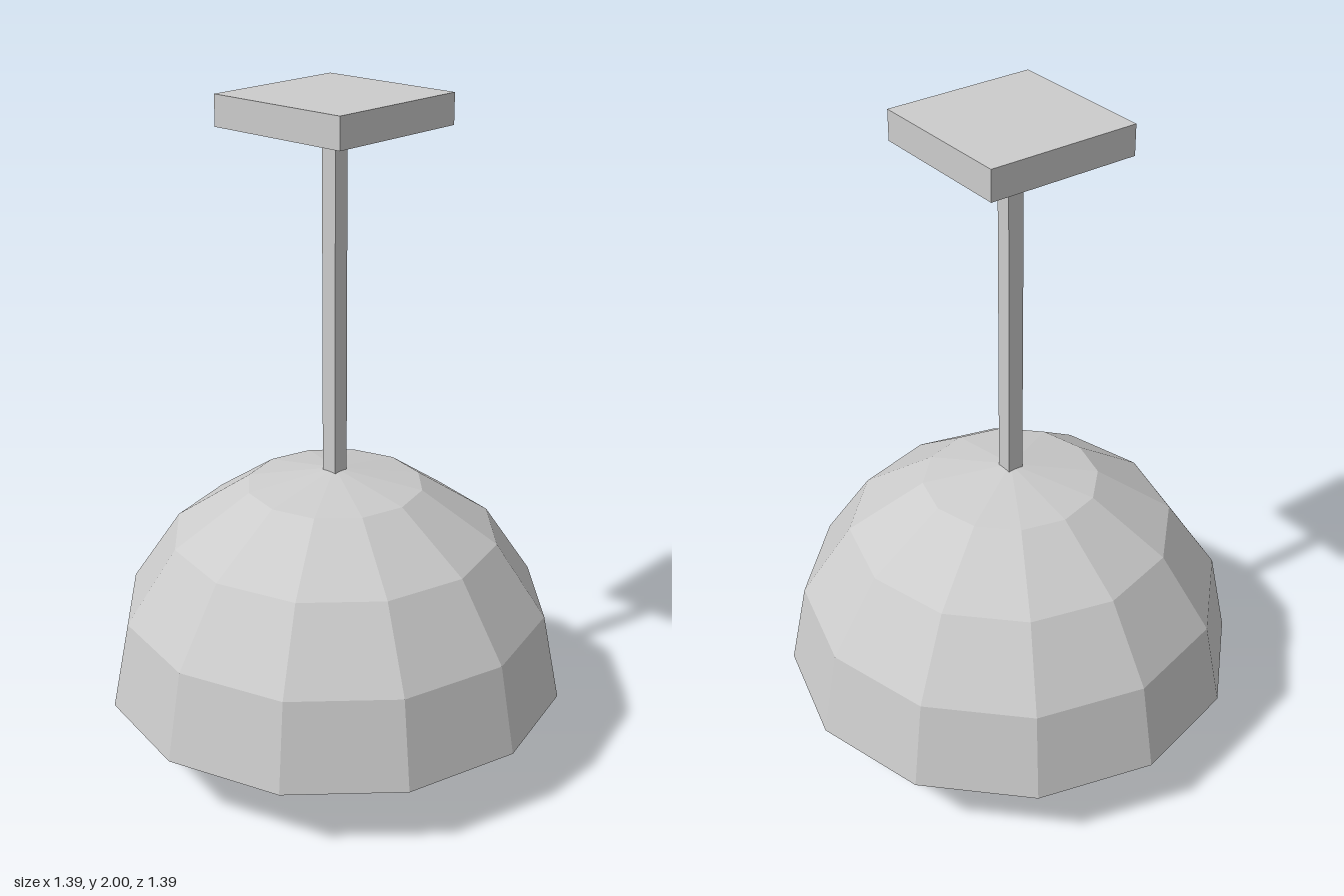
import * as THREE from 'three';

const material = new THREE.MeshStandardMaterial({ color: 0xcccccc, flatShading: true });

function addPart(group, name, geometry, y = 0) {
  const mesh = new THREE.Mesh(geometry, material);
  mesh.name = name;
  mesh.position.y = y;
  group.add(mesh);
  return mesh;
}

// Faceted turned shape from [radius, height] pairs
function turned(profile, sides) {
  return new THREE.LatheGeometry(profile.map(([r, y]) => new THREE.Vector2(r, y)), sides);
}

export function createModel() {
  const lamp = new THREE.Group();
  lamp.name = 'pendantLamp';

  // Square ceiling plate and the rod hanging from it
  addPart(lamp, 'ceilingPlate', new THREE.BoxGeometry(0.465, 0.09, 0.465), 1.955);
  addPart(lamp, 'rod', new THREE.BoxGeometry(0.05, 1.07, 0.05), 1.385);

  // Thick twelve-sided dome: inner skin down to the rim, outer skin back up
  addPart(lamp, 'shade', turned([
    [0, 0.82], [0.24, 0.78], [0.44, 0.64], [0.575, 0.44], [0.625, 0.2],
    [0.695, 0.2], [0.643, 0.465], [0.492, 0.69], [0.265, 0.843], [0, 0.892],
  ], 12));

  // Eight-sided bulb with its neck running up into the dome
  const bulb = addPart(lamp, 'bulb', turned([
    [0, 0], [0.1, 0], [0.166, 0.05], [0.203, 0.14], [0.203, 0.29],
    [0.1, 0.49], [0.1, 0.83],
  ], 8));
  bulb.rotation.y = -0.05;

  return lamp;
}
